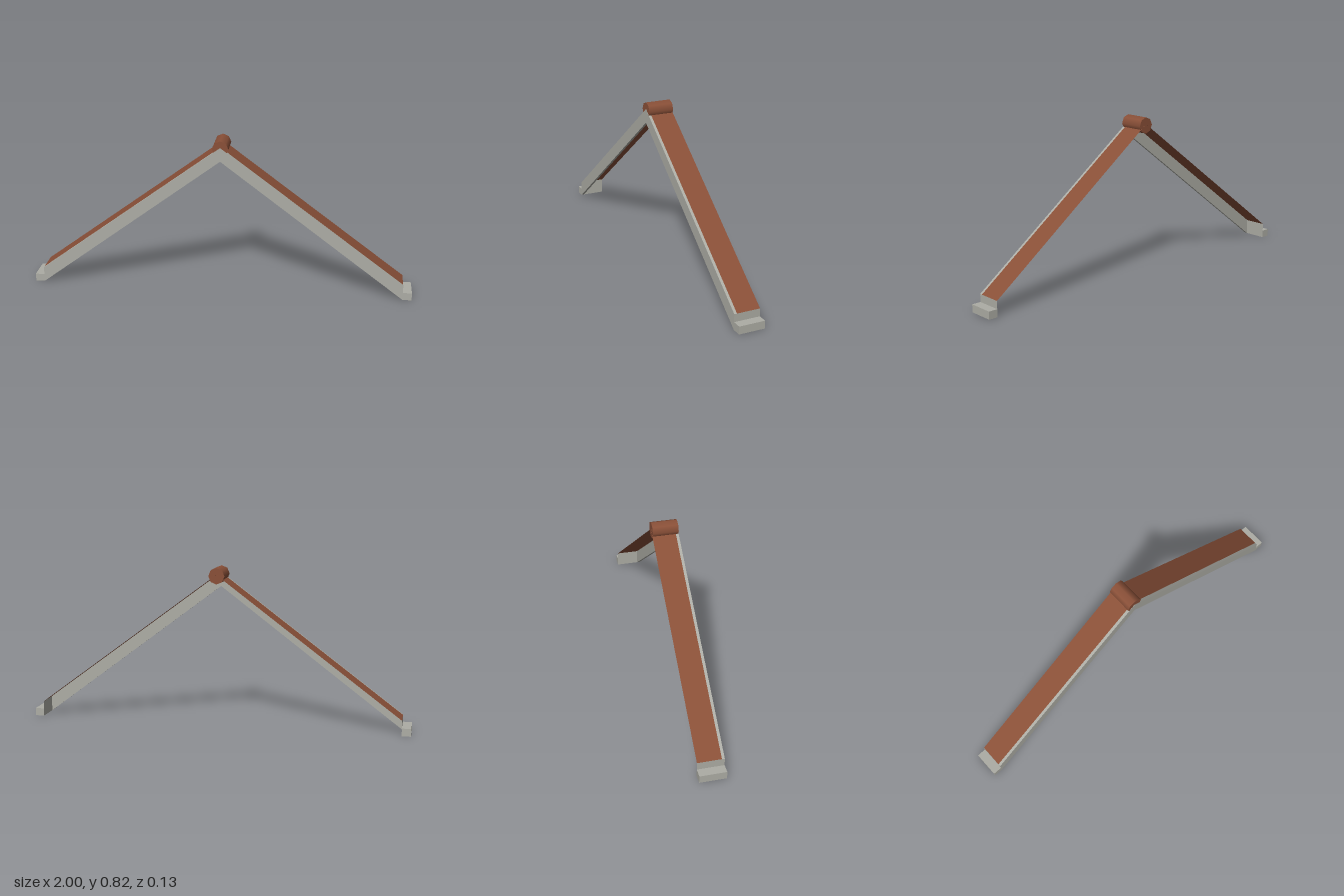
import * as THREE from 'three';

const BACK = -0.067, FRONT = 0.067, BOARD = 0.014;
const EAVE = 0.953, EAVE_TOP = 0.08, APEX = 0.79, APEX_LOW = 0.718;

export function createModel() {
  const brown = new THREE.MeshStandardMaterial({ color: 0x8a5038, side: THREE.DoubleSide });
  brown.name = 'roof brown';
  const grey = new THREE.MeshStandardMaterial({ color: 0xadada5, side: THREE.DoubleSide });
  grey.name = 'trim grey';

  const model = new THREE.Group();
  model.name = 'gableRoof';
  const add = (name, geometry, material, x = 0, y = 0, z = 0) => {
    const mesh = new THREE.Mesh(geometry, material);
    mesh.name = name;
    mesh.position.set(x, y, z);
    model.add(mesh);
    return mesh;
  };

  // Chevron barge board across the front
  const chevron = new THREE.Shape([
    [-EAVE, 0], [0, APEX_LOW], [EAVE, 0],
    [EAVE, EAVE_TOP], [0, APEX], [-EAVE, EAVE_TOP],
  ].map(([x, y]) => new THREE.Vector2(x, y)));
  add('bargeBoard', new THREE.ExtrudeGeometry(chevron, { depth: BOARD, bevelEnabled: false }),
    grey, 0, 0, FRONT - BOARD);

  const depth = FRONT - BACK;
  const sheetDepth = depth - BOARD;
  const slope = Math.hypot(EAVE, APEX - EAVE_TOP);
  const pitch = Math.atan2(APEX - EAVE_TOP, EAVE);

  for (const [side, s] of [['left', 1], ['right', -1]]) {
    // Thin roof covering, level with the top of the barge board
    const sheet = new THREE.PlaneGeometry(slope, sheetDepth).rotateX(-Math.PI / 2);
    add(side + 'RoofSheet', sheet, brown, s * EAVE / 2, (APEX + EAVE_TOP) / 2, BACK + sheetDepth / 2)
      .rotation.z = -s * pitch;

    // Upright board closing the eave
    const board = new THREE.PlaneGeometry(depth, EAVE_TOP).rotateY(s * Math.PI / 2);
    add(side + 'EaveBoard', board, grey, s * EAVE, EAVE_TOP / 2, 0);

    // Gutter outside the eave
    add(side + 'Gutter', new THREE.BoxGeometry(1 - EAVE, 0.04, depth), grey, s * (1 + EAVE) / 2, 0.02, 0);
  }

  // Eight-sided ridge cap
  const ridge = new THREE.CylinderGeometry(0.042, 0.042, depth - 0.002, 8).rotateX(Math.PI / 2);
  add('ridgeCap', ridge, brown, 0, 0.783, 0);

  return model;
}
